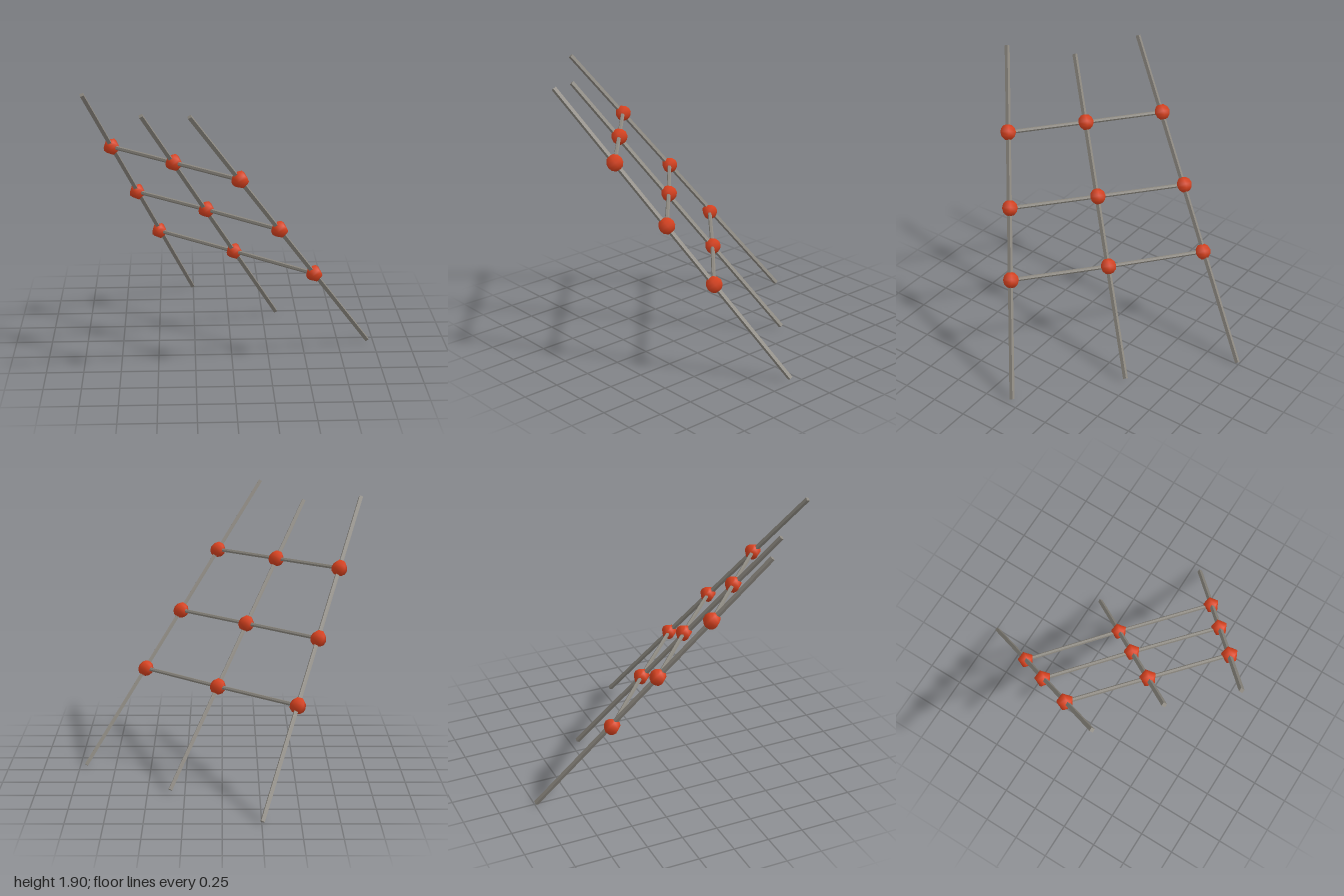
import * as THREE from 'three';

const V = (a) => new THREE.Vector3(...a);

// Each long rod: foot, tip and the joints along it (low to high)
const RODS = [
  { foot: [-0.255, 0.007, -0.99], tip: [-0.96, 1.868, 0.355],
    joints: [[-0.495, 0.63, -0.525], [-0.64, 1.015, -0.263], [-0.795, 1.43, 0.035]] },
  { foot: [0.347, 0.018, -0.452], tip: [-0.58, 1.80, 0.63],
    joints: [[0.03, 0.63, -0.083], [-0.166, 1.017, 0.145], [-0.38, 1.425, 0.397]] },
  { foot: [0.957, 0.01, 0.062], tip: [-0.28, 1.888, 0.99],
    joints: [[0.546, 0.633, 0.368], [0.297, 1.015, 0.555], [0.032, 1.42, 0.76]] },
];

// Direction across the rods, used to line up the facets
const ACROSS = new THREE.Vector3(0.75, 0, 0.66).normalize();

// Turn an object so its y axis follows dir and its x axis leans towards side
function align(object, dir, side) {
  const y = dir.clone().normalize();
  const z = side.clone().cross(y).normalize();
  const x = y.clone().cross(z);
  object.quaternion.setFromRotationMatrix(new THREE.Matrix4().makeBasis(x, y, z));
}

function bar(name, a, b, radius, sides, side, material) {
  const dir = b.clone().sub(a);
  const mesh = new THREE.Mesh(new THREE.CylinderGeometry(radius, radius, dir.length(), sides), material);
  mesh.name = name;
  mesh.position.copy(a).add(b).multiplyScalar(0.5);
  align(mesh, dir, side);
  return mesh;
}

export function createModel() {
  const group = new THREE.Group();
  group.name = 'rodLattice';
  const grey = new THREE.MeshStandardMaterial({ color: 0x8c8880, flatShading: true });
  grey.name = 'warmGrey';
  const red = new THREE.MeshStandardMaterial({ color: 0xd8421f });
  red.name = 'orangeRed';

  // Smooth five-sided ball with one corner facing +x
  const ball = new THREE.SphereGeometry(0.057, 5, 6, Math.PI);

  RODS.forEach((rod, i) => {
    const foot = V(rod.foot), tip = V(rod.tip);
    const dir = tip.clone().sub(foot);
    const normal = dir.clone().cross(ACROSS).normalize();

    // Long square rod, set on its corner
    group.add(bar('longRod', foot, tip, 0.0175, 4, normal, grey));

    rod.joints.forEach((p, j) => {
      // Ball joint
      const joint = new THREE.Mesh(ball, red);
      joint.name = 'ballJoint';
      joint.position.copy(V(p));
      align(joint, dir, normal);
      group.add(joint);

      // Cross bar to the neighbouring rod
      if (i < RODS.length - 1) {
        group.add(bar('crossBar', V(p), V(RODS[i + 1].joints[j]), 0.014, 6, normal, grey));
      }
    });
  });
  return group;
}
